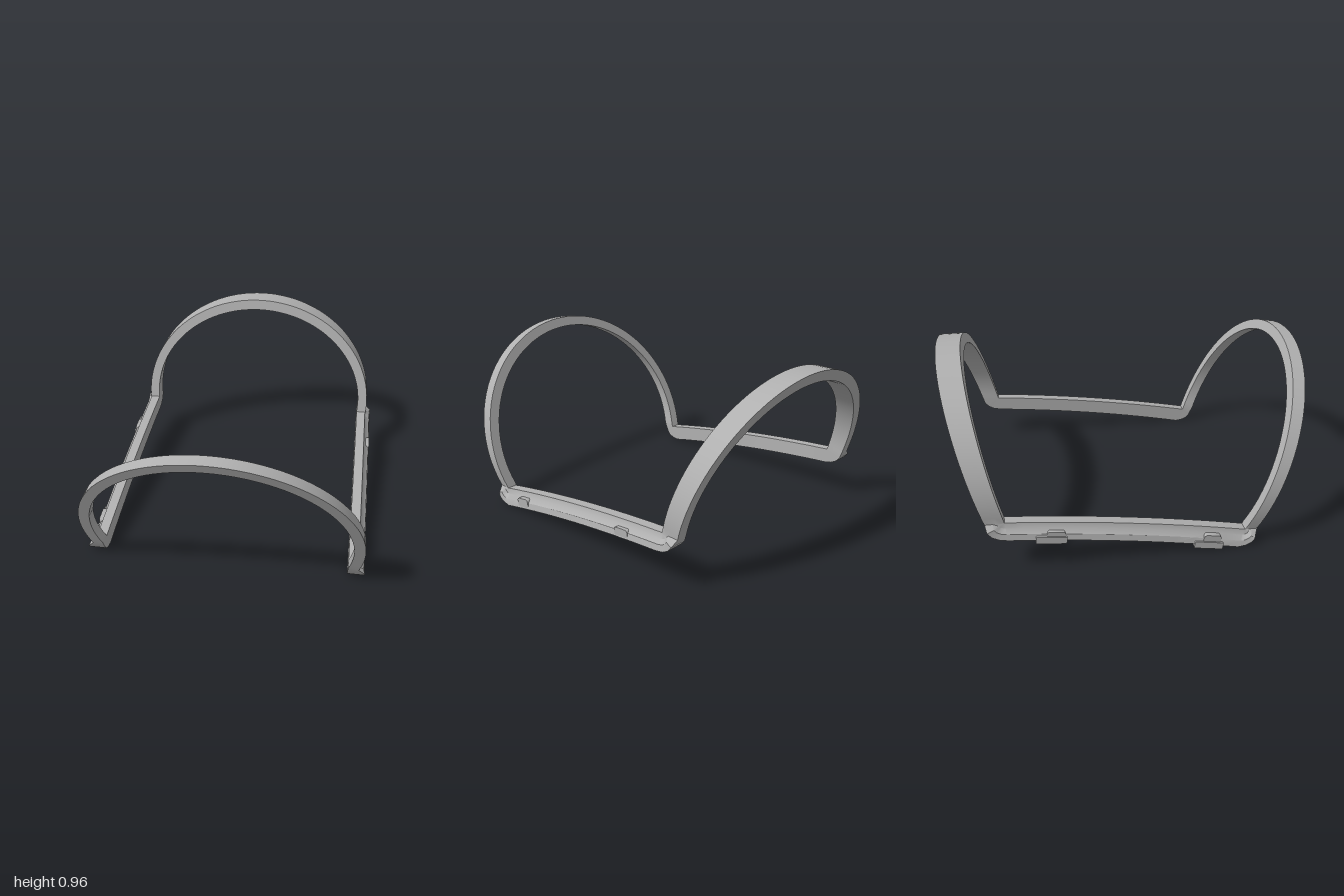
import * as THREE from 'three';
import { toCreasedNormals } from 'three/addons/utils/BufferGeometryUtils.js';

const lerp = THREE.MathUtils.lerp;
const mix = (a, b, t) => a.map((v, i) => lerp(v, b[i], t));

// Cross-section: inner top, outer top, two points down the outer side, outer bottom, inner bottom
function hoopSection(h, angle) {
  const c = Math.cos(angle), s = Math.sin(angle);
  const point = (edge, rim) => {
    const y = h.centerY + rim[1] * s;
    return [rim[0] * c, y + edge.lift * Math.max(s, 0), edge.z + (y - edge.y) * edge.slope];
  };
  const ti = point(h.near, h.inner), to = point(h.near, h.outer);
  const bo = point(h.far, h.outer), bi = point(h.far, h.inner);
  return [ti, to, mix(to, bo, 0.4), mix(to, bo, 0.6), bo, bi];
}

function railSection(topY, topZ, bottomY, bottomZ) {
  const at = (x, t) => [x, lerp(topY, bottomY, t), lerp(topZ, bottomZ, t)];
  return [at(0.68, 0), at(0.735, 0), at(0.742, 0.35), at(0.765, 0.6), at(0.772, 1), at(0.678, 1)];
}

const frontHoop = {
  centerY: 0.25, outer: [0.759, 0.68], inner: [0.7, 0.625],
  near: { y: 0.085, z: 0.575, slope: 0.42, lift: 0.01 },
  far: { y: 0.07, z: 0.635, slope: 0.424, lift: 0 },
};
const backHoop = {
  centerY: 0.33, outer: [0.741, 0.635], inner: [0.682, 0.575],
  near: { y: 0.28, z: -0.7, slope: -0.248, lift: 0 },
  far: { y: 0.28, z: -0.8, slope: -0.294, lift: 0 },
};

// Rail runs from front (t = 0) to back (t = 1) with a slight upward bow
const bow = t => 0.08 * t * (1 - t);
const railTop = t => [lerp(0.085, 0.28, t) + bow(t), lerp(0.575, -0.7, t)];
const railBottom = t => [lerp(0, 0.195, t) + bow(t), lerp(0.53, -0.69, t)];

function frameGeometry() {
  const half = [], steps = 28;
  const frontEnd = -0.245, backEnd = -0.079;
  for (let i = 0; i <= steps; i++) half.push(hoopSection(frontHoop, lerp(Math.PI / 2, frontEnd, i / steps)));
  // rounded front corner
  for (const [y, z] of [[0.045, 0.622], [0.022, 0.605], [0.006, 0.572]]) half.push(railSection(0.085, 0.575, y, z));
  for (let i = 0; i <= 14; i++) half.push(railSection(...railTop(i / 14), ...railBottom(i / 14)));
  // rounded back corner
  for (const [y, z] of [[0.205, -0.735], [0.223, -0.768], [0.25, -0.79]]) half.push(railSection(0.28, -0.7, y, z));
  for (let i = 0; i <= steps; i++) half.push(hoopSection(backHoop, lerp(backEnd, Math.PI / 2, i / steps)));

  // mirror to close the loop
  const mirrored = half.slice(1, -1).reverse().map(sec => sec.map(([x, y, z]) => [-x, y, z]));
  const ring = [...half, ...mirrored];
  const n = 6, index = [];
  ring.forEach((_, s) => {
    const next = (s + 1) % ring.length;
    for (let i = 0; i < n; i++) {
      const j = (i + 1) % n;
      const a = s * n + i, b = s * n + j, c = next * n + i, d = next * n + j;
      index.push(a, b, c, b, d, c);
    }
  });
  const g = new THREE.BufferGeometry();
  g.setAttribute('position', new THREE.Float32BufferAttribute(ring.flat(2), 3));
  g.setIndex(index);
  return toCreasedNormals(g, 0.6);
}

// Rounded block with its face towards x
function clipGeometry(length, height, depth, radius) {
  const w = length / 2, h = height / 2, r = radius;
  const shape = new THREE.Shape();
  shape.absarc(w - r, h - r, r, 0, Math.PI / 2);
  shape.absarc(-w + r, h - r, r, Math.PI / 2, Math.PI);
  shape.absarc(-w + r, -h + r, r, Math.PI, Math.PI * 1.5);
  shape.absarc(w - r, -h + r, r, Math.PI * 1.5, Math.PI * 2);
  const g = new THREE.ExtrudeGeometry(shape, { depth, bevelEnabled: false, curveSegments: 4 });
  g.translate(0, 0, -depth / 2);
  g.rotateY(Math.PI / 2);
  return toCreasedNormals(g, 0.6);
}

export function createModel() {
  const group = new THREE.Group();
  const grey = new THREE.MeshStandardMaterial({ color: 0xb0b0b0 });
  grey.name = 'plain grey';

  const add = (name, geometry, x = 0, y = 0, z = 0, tilt = 0) => {
    const mesh = new THREE.Mesh(geometry, grey);
    mesh.name = name;
    mesh.position.set(x, y, z);
    mesh.rotation.x = tilt;
    group.add(mesh);
  };

  add('hoopFrame', frameGeometry());

  // Clips on both rails, with wider tabs on the -x rail only
  const clip = clipGeometry(0.096, 0.05, 0.035, 0.016);
  const tab = clipGeometry(0.16, 0.04, 0.024, 0.006);
  const spots = [
    { end: 'front', y: 0.066, z: 0.385, tabY: 0.036, tabZ: 0.365, tilt: 0.17 },
    { end: 'back', y: 0.192, z: -0.445, tabY: 0.174, tabZ: -0.47, tilt: 0.12 },
  ];
  for (const s of spots) {
    add(s.end + 'ClipRight', clip, 0.753, s.y, s.z, s.tilt);
    add(s.end + 'ClipLeft', clip, -0.753, s.y, s.z, s.tilt);
    add(s.end + 'Tab', tab, -0.767, s.tabY, s.tabZ, s.tilt);
  }
  return group;
}
